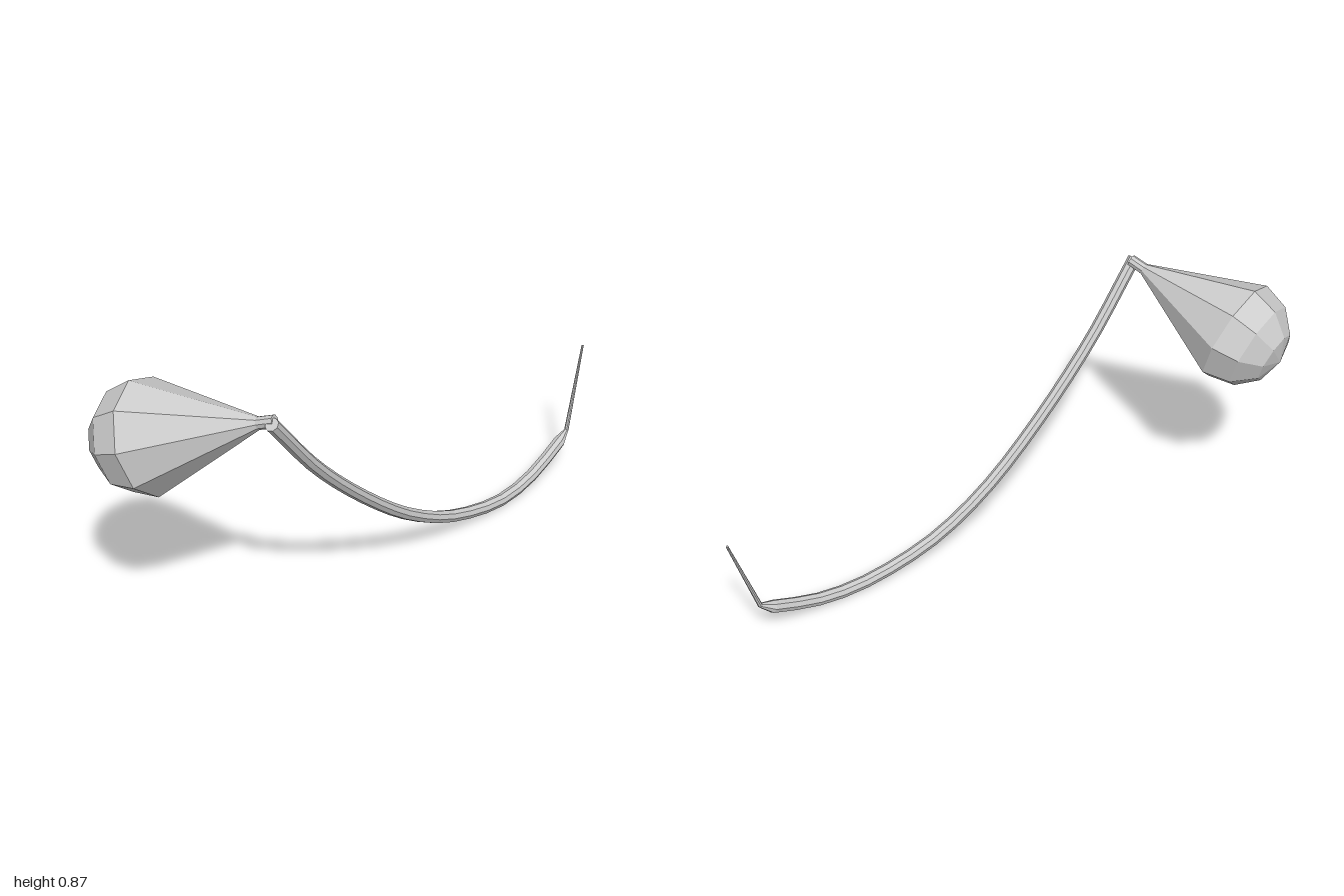
import * as THREE from 'three';

const v = (x, y, z) => new THREE.Vector3(x, y, z);

function part(name, geometry) {
  const flat = geometry.index ? geometry.toNonIndexed() : geometry;
  flat.computeVertexNormals();
  const mesh = new THREE.Mesh(flat, new THREE.MeshStandardMaterial({ color: 0xcccccc, flatShading: true }));
  mesh.name = name;
  return mesh;
}

// Closed tube through the given centres, with its own radius at each one
function loft(centres, radii, sides) {
  const last = centres.length - 1;
  const positions = [], index = [];
  const side = v(0, 0, 1);
  const ring = (c, r, n, b) => {
    for (let j = 0; j < sides; j++) {
      const a = (j / sides) * Math.PI * 2;
      const p = c.clone().addScaledVector(n, Math.cos(a) * r).addScaledVector(b, Math.sin(a) * r);
      positions.push(p.x, p.y, p.z);
    }
  };
  centres.forEach((c, i) => {
    const t = centres[Math.min(i + 1, last)].clone().sub(centres[Math.max(i - 1, 0)]).normalize();
    side.addScaledVector(t, -side.dot(t)).normalize();
    const b = t.clone().cross(side);
    if (i === 0) ring(c, 0, side, b);
    ring(c, radii[i], side, b);
    if (i === last) ring(c, 0, side, b);
  });
  for (let i = 0; i < centres.length + 1; i++) {
    for (let j = 0; j < sides; j++) {
      const a = i * sides + j, b = i * sides + (j + 1) % sides;
      index.push(a, b, a + sides, b, b + sides, a + sides);
    }
  }
  const g = new THREE.BufferGeometry();
  g.setAttribute('position', new THREE.Float32BufferAttribute(positions, 3));
  g.setIndex(index);
  return g;
}

export function createModel() {
  const group = new THREE.Group();

  // Curved stem, pinched in at its far end
  const curve = new THREE.CatmullRomCurve3([
    v(-0.685, 0.838, 0.275), v(-0.47, 0.588, 0.232), v(-0.2, 0.342, 0.187), v(0.01, 0.187, 0.16),
    v(0.225, 0.08, 0.143), v(0.49, 0.025, 0.132), v(0.68, 0.045, 0.115), v(0.85, 0.108, 0.095)
  ]);
  const centres = curve.getSpacedPoints(20);
  const radii = centres.map(() => 0.022);
  const joint = v(0.895, 0.137, 0.09);
  centres.push(joint);
  radii.push(0.008);
  group.add(part('stem', loft(centres, radii, 8)));

  // Thin straight tip
  group.add(part('needle', loft([joint, v(0.993, 0.44, 0.064)], [0.008, 0.004], 8)));

  // Drop-shaped bulb: short neck, long cone, rounded end
  const R = 0.185;
  const profile = [[0, -0.44], [0.02, -0.44], [0.02, -0.385]];
  for (let i = 0; i <= 3; i++) {
    const a = (i * Math.PI) / 6;
    profile.push([i === 3 ? 0 : R * Math.cos(a), R * Math.sin(a)]);
  }
  const bulb = part('bulb', new THREE.LatheGeometry(profile.map(p => new THREE.Vector2(...p)), 9));
  const axis = v(-0.15, -0.13, -0.36).normalize();
  const up = v(0, 1, 0).addScaledVector(axis, -axis.y).normalize();
  bulb.quaternion.setFromRotationMatrix(new THREE.Matrix4().makeBasis(axis.clone().cross(up), axis, up));
  bulb.position.set(-0.827, 0.7, -0.118);
  group.add(bulb);

  return group;
}
